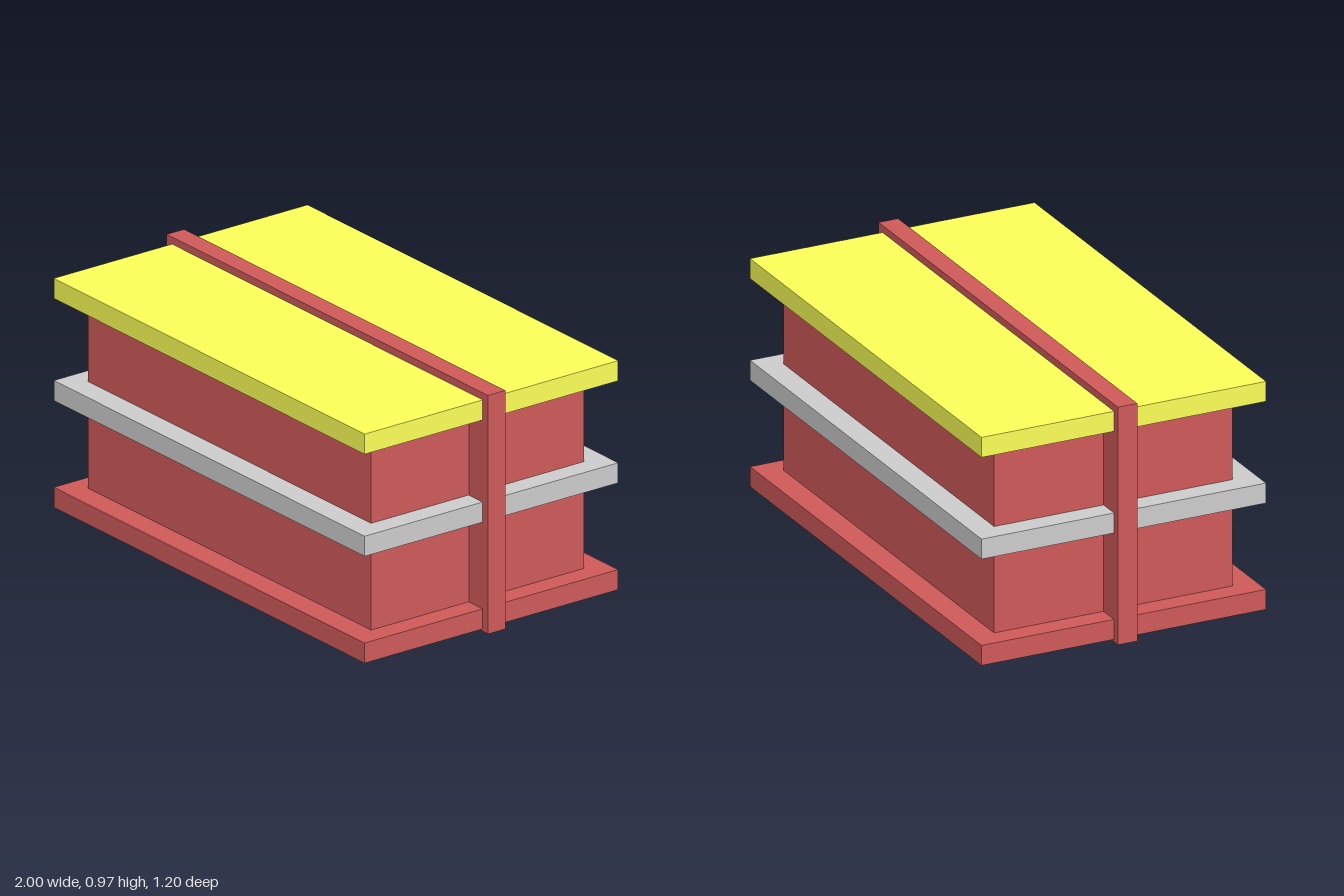
import * as THREE from 'three';

export function createModel() {
  const group = new THREE.Group();
  const red = new THREE.MeshStandardMaterial({ color: 0xce5959 });
  const yellow = new THREE.MeshStandardMaterial({ color: 0xfaff57 });
  const grey = new THREE.MeshStandardMaterial({ color: 0xcccccc });

  // Box centred on x and z, spanning y0..y1
  function slab(name, width, depth, y0, y1, material) {
    const mesh = new THREE.Mesh(new THREE.BoxGeometry(width, y1 - y0, depth), material);
    mesh.name = name;
    mesh.position.y = (y0 + y1) / 2;
    group.add(mesh);
  }

  // Crate body with its three overhanging plates
  slab('body', 1.76, 1.006, 0.05, 0.9, red);
  slab('basePlate', 1.934, 1.2, 0.01, 0.092, red);
  slab('middlePlate', 1.934, 1.2, 0.445, 0.527, grey);
  slab('lid', 1.934, 1.2, 0.861, 0.943, yellow);

  // Strap running lengthwise around the whole crate
  slab('strap', 2, 0.082, 0, 0.972, red);

  return group;
}
